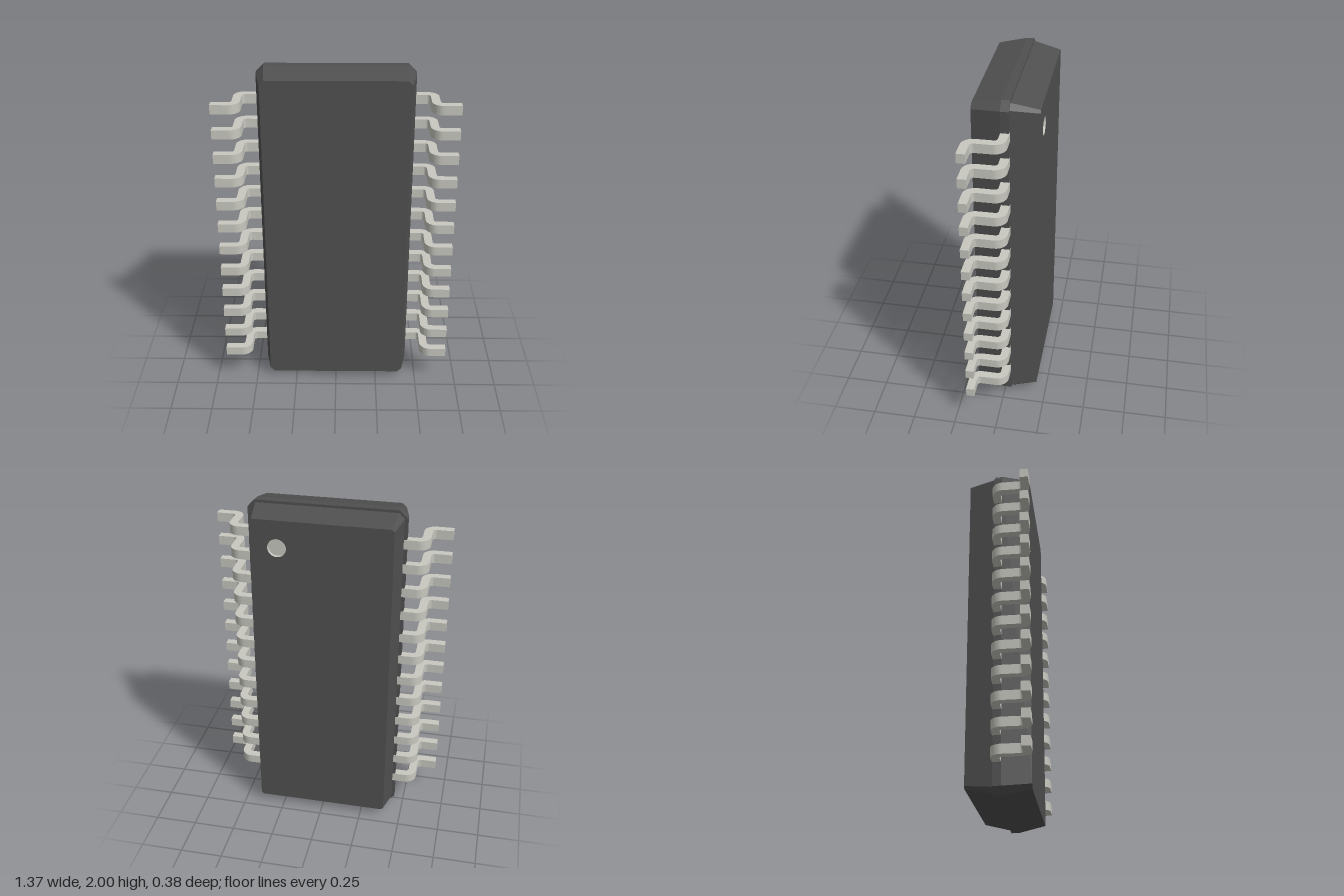
import * as THREE from 'three';
import { mergeGeometries, toCreasedNormals } from 'three/addons/utils/BufferGeometryUtils.js';

const DOT = { x: 0.245, y: 0.79, r: 0.053, depth: 0.02 }; // relative to body centre

// Chamfered rectangle, counter-clockwise seen from +z
function octagon([, w, h, c]) {
  return [
    [w, -h + c], [w, h - c], [w - c, h], [-w + c, h],
    [-w, h - c], [-w, -h + c], [-w + c, -h], [w - c, -h],
  ].map(([x, y]) => new THREE.Vector2(x, y));
}

// Flat-faced loft through sections [z, half width, half height, chamfer], capped both ends
function loft(sections, backHole) {
  const pos = [];
  for (let s = 0; s < sections.length - 1; s++) {
    const a = octagon(sections[s]), b = octagon(sections[s + 1]);
    const za = sections[s][0], zb = sections[s + 1][0];
    for (let i = 0; i < 8; i++) {
      const j = (i + 1) % 8;
      const A = [a[i].x, a[i].y, za], B = [a[j].x, a[j].y, za];
      const C = [b[j].x, b[j].y, zb], D = [b[i].x, b[i].y, zb];
      pos.push(...A, ...B, ...C, ...A, ...C, ...D);
    }
  }
  const sides = new THREE.BufferGeometry();
  sides.setAttribute('position', new THREE.Float32BufferAttribute(pos, 3));

  const last = sections[sections.length - 1];
  const front = new THREE.ShapeGeometry(new THREE.Shape(octagon(last))).translate(0, 0, last[0]);
  const backShape = new THREE.Shape(octagon(sections[0]));
  if (backHole) backShape.holes.push(backHole);
  const back = new THREE.ShapeGeometry(backShape, 16).rotateY(Math.PI).translate(0, 0, sections[0][0]);

  const geo = mergeGeometries([sides, front, back].map((g) => {
    const n = g.index ? g.toNonIndexed() : g;
    n.deleteAttribute('uv');
    n.deleteAttribute('normal');
    return n;
  }));
  geo.computeVertexNormals();
  return geo;
}

// Gull-wing lead: profile in x/z, extruded along y and centred
function leadGeometry() {
  const t = 0.048, width = 0.054, ri = 0.018, ro = ri + t;
  const z0 = -0.04, z1 = 0.186, xIn = 0.525, xOut = xIn + t, tip = 0.686;
  const p = new THREE.Shape();
  p.moveTo(0.41, z0);
  p.lineTo(xOut - ro, z0);
  p.absarc(xOut - ro, z0 + ro, ro, -Math.PI / 2, 0, false);
  p.lineTo(xOut, z1 - t - ri);
  p.absarc(xOut + ri, z1 - t - ri, ri, Math.PI, Math.PI / 2, true);
  p.lineTo(tip, z1 - t);
  p.lineTo(tip, z1);
  p.lineTo(xIn + ro, z1);
  p.absarc(xIn + ro, z1 - ro, ro, Math.PI / 2, Math.PI, false);
  p.lineTo(xIn, z0 + t + ri);
  p.absarc(xIn - ri, z0 + t + ri, ri, 0, -Math.PI / 2, true);
  p.lineTo(0.41, z0 + t);
  p.closePath();
  const geo = new THREE.ExtrudeGeometry(p, { depth: width, bevelEnabled: false, curveSegments: 6 });
  geo.translate(0, 0, -width / 2).rotateX(Math.PI / 2);
  return toCreasedNormals(geo, 0.6);
}

export function createModel() {
  const root = new THREE.Group();
  root.name = 'chipPackage';
  const plastic = new THREE.MeshStandardMaterial({ color: 0x505050 });
  const metal = new THREE.MeshStandardMaterial({ color: 0xc8c8c0 });
  const add = (parent, name, geo, mat) => {
    const m = new THREE.Mesh(geo, mat);
    m.name = name;
    parent.add(m);
    return m;
  };

  // Two tapered body halves meeting at a small step
  const body = new THREE.Group();
  body.name = 'body';
  body.position.y = 1;
  root.add(body);
  add(body, 'frontHalf', loft([
    [-0.038, 0.446, 1, 0.045],
    [0.008, 0.446, 1, 0.045],
    [0.166, 0.415, 0.965, 0.025],
  ]), plastic);
  const zBack = -0.192;
  const hole = new THREE.Path().absarc(-DOT.x, DOT.y, DOT.r, 0, Math.PI * 2, true);
  add(body, 'backHalf', loft([
    [zBack, 0.397, 0.95, 0.014],
    [-0.038, 0.43, 0.985, 0.03],
  ], hole), plastic);

  // Recessed orientation mark in the back face
  const wall = new THREE.CylinderGeometry(DOT.r, DOT.r, DOT.depth, 32, 1, true).rotateX(Math.PI / 2);
  const wallMaterial = metal.clone();
  wallMaterial.side = THREE.DoubleSide;
  add(body, 'markWall', wall, wallMaterial).position.set(DOT.x, DOT.y, zBack + DOT.depth / 2);
  const floor = new THREE.CircleGeometry(DOT.r, 32).rotateY(Math.PI);
  add(body, 'markFloor', floor, metal).position.set(DOT.x, DOT.y, zBack + DOT.depth);

  // Twelve leads on each side
  const lead = leadGeometry();
  for (const [name, turn] of [['leftLeads', 0], ['rightLeads', Math.PI]]) {
    const row = new THREE.Group();
    row.name = name;
    root.add(row);
    for (let i = 0; i < 12; i++) {
      const m = add(row, 'lead', lead, metal);
      m.position.y = 0.2 + i * 0.146;
      m.rotation.z = turn;
    }
  }
  return root;
}
